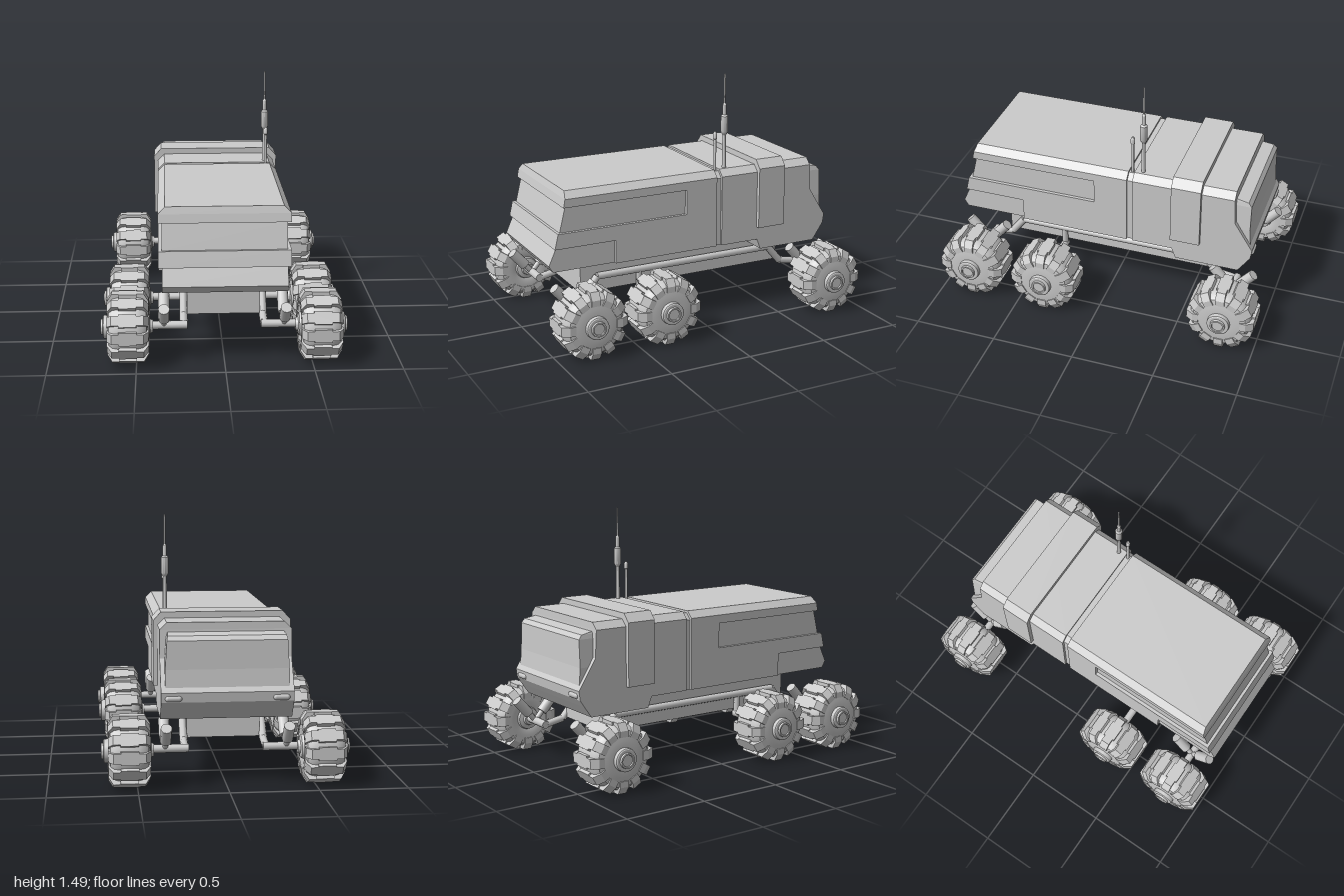
import * as THREE from 'three';
import { toCreasedNormals } from 'three/addons/utils/BufferGeometryUtils.js';

const grey = new THREE.MeshStandardMaterial({ color: 0xcccccc });

function add(parent, name, geometry, x = 0, y = 0, z = 0) {
  const mesh = new THREE.Mesh(geometry, grey);
  mesh.name = name;
  mesh.position.set(x, y, z);
  parent.add(mesh);
  return mesh;
}

// Box from corner ranges
function block(parent, name, x0, x1, y0, y1, z0, z1) {
  return add(parent, name, new THREE.BoxGeometry(x1 - x0, y1 - y0, z1 - z0),
    (x0 + x1) / 2, (y0 + y1) / 2, (z0 + z1) / 2);
}

// Stack of rectangles, bottom to top: [y, halfWidth, zBack, zFront]
function loft(parent, name, levels) {
  const pos = [], index = [], n = levels.length;
  for (const [y, h, b, f] of levels) pos.push(-h, y, f, h, y, f, h, y, b, -h, y, b);
  for (let i = 0; i < n - 1; i++) {
    for (let k = 0; k < 4; k++) {
      const a = i * 4 + k, c = i * 4 + (k + 1) % 4;
      index.push(a, c, c + 4, a, c + 4, a + 4);
    }
  }
  const t = (n - 1) * 4;
  index.push(0, 2, 1, 0, 3, 2, t, t + 1, t + 2, t, t + 2, t + 3);
  const g = new THREE.BufferGeometry();
  g.setAttribute('position', new THREE.Float32BufferAttribute(pos, 3));
  g.setIndex(index);
  const flat = g.toNonIndexed();
  flat.computeVertexNormals();
  return add(parent, name, flat);
}

// Cylinder between two points
function rod(parent, name, a, b, r, sides = 12) {
  const p = new THREE.Vector3(...a), q = new THREE.Vector3(...b), d = q.clone().sub(p);
  const mesh = add(parent, name, new THREE.CylinderGeometry(r, r, d.length(), sides));
  mesh.position.copy(p).add(q).multiplyScalar(0.5);
  mesh.quaternion.setFromUnitVectors(new THREE.Vector3(0, 1, 0), d.normalize());
  return mesh;
}

function lathe(points, segments) {
  const g = new THREE.LatheGeometry(points.map(p => new THREE.Vector2(...p)), segments);
  return toCreasedNormals(g, 0.5);
}

// Wheel with its outer face towards +x
function createWheel() {
  const wheel = new THREE.Group();
  wheel.name = 'wheel';
  const tyre = lathe([[0, -0.14], [0.035, -0.14], [0.04, -0.125], [0.065, -0.12], [0.07, -0.105],
    [0.105, -0.115], [0.16, -0.105], [0.178, -0.085], [0.187, -0.05], [0.187, 0.05], [0.178, 0.085],
    [0.16, 0.105], [0.105, 0.115], [0.068, 0.115], [0.066, 0.138], [0.06, 0.142], [0.045, 0.142],
    [0.043, 0.155], [0.034, 0.155], [0.032, 0.148], [0, 0.148]], 40);
  add(wheel, 'tyreAndHub', tyre.rotateZ(-Math.PI / 2));
  const s = new THREE.Shape([[-0.117, 0.125], [0.117, 0.125], [0.117, 0.16], [0.09, 0.203],
    [-0.09, 0.203], [-0.117, 0.16]].map(p => new THREE.Vector2(...p)));
  const lug = new THREE.ExtrudeGeometry(s, { depth: 0.055, bevelEnabled: false }).translate(0, 0, -0.0275);
  // Wider middle pad on each lug
  const pad = new THREE.BoxGeometry(0.1, 0.03, 0.075).translate(0, 0.188, 0);
  for (let i = 0; i < 12; i++) {
    const a = i * Math.PI / 6;
    add(wheel, 'treadLug', lug).rotation.x = a;
    add(wheel, 'treadPad', pad).rotation.x = a;
  }
  return wheel;
}

function createBody() {
  const body = new THREE.Group();
  body.name = 'body';
  // Front cabin: recessed window band between belt and roof
  loft(body, 'roof', [[0.83, 0.37, -0.13, 0.86], [0.88, 0.37, -0.13, 0.85], [0.92, 0.33, -0.13, 0.838]]);
  loft(body, 'windowBand', [[0.68, 0.35, 0.07, 0.88], [0.83, 0.35, 0.07, 0.843]]);
  block(body, 'cabinSide', -0.37, 0.37, 0.68, 0.83, -0.13, 0.075);
  loft(body, 'beltPanel', [[0.59, 0.37, -0.13, 0.918], [0.68, 0.37, -0.13, 0.897]]);
  block(body, 'lowerSide', -0.37, 0.37, 0.45, 0.59, -0.13, 0.54);
  loft(body, 'noseBumper', [[0.45, 0.35, 0.53, 0.925], [0.49, 0.35, 0.53, 0.95], [0.59, 0.35, 0.53, 0.905]]);
  // Groove between the two body halves
  loft(body, 'bodySeam', [[0.45, 0.355, -0.17, -0.125], [0.87, 0.355, -0.17, -0.125], [0.908, 0.32, -0.17, -0.125]]);
  // Rear body with dropped tail
  loft(body, 'rearBody', [[0.385, 0.37, -0.825, -0.44], [0.45, 0.37, -0.87, -0.415], [0.45, 0.37, -0.87, -0.165],
    [0.49, 0.37, -0.897, -0.165], [0.545, 0.37, -0.905, -0.165], [0.72, 0.37, -0.795, -0.165],
    [0.88, 0.37, -0.787, -0.165], [0.92, 0.33, -0.787, -0.165]]);
  loft(body, 'tailPanel', [[0.55, 0.345, -0.89, -0.75], [0.67, 0.345, -0.88, -0.75], [0.83, 0.335, -0.88, -0.75],
    [0.855, 0.33, -0.86, -0.75], [0.868, 0.325, -0.78, -0.75]]);
  // Raised band around the rear body
  loft(body, 'roofBand', [[0.53, 0.395, -0.59, -0.41], [0.905, 0.395, -0.59, -0.41], [0.955, 0.35, -0.59, -0.41]]);
  for (const s of [-1, 1]) {
    add(body, 'tailLight', new THREE.CapsuleGeometry(0.018, 0.06, 4, 10).rotateZ(Math.PI / 2), s * 0.3, 0.512, -0.895);
  }
  return body;
}

// Suspension and wheels for one side, s = +1 left, -1 right
function createRunningGear(s) {
  const side = new THREE.Group();
  side.name = s > 0 ? 'leftRunningGear' : 'rightRunningGear';
  const y = 0.21;
  const rail = [[0.78, y], [0.68, y + 0.02], [0.6, 0.335], [-0.58, 0.335], [-0.67, y + 0.02], [-0.78, y]];
  for (let i = 0; i < rail.length - 1; i++) {
    const [z0, y0] = rail[i], [z1, y1] = rail[i + 1];
    rod(side, 'suspensionRail', [s * 0.229, y0, z0], [s * 0.229, y1, z1], 0.023, 8);
  }
  for (const z of [0.795, 0.325, -0.795]) {
    rod(side, 'axle', [s * 0.21, y, z], [s * 0.43, y, z], 0.024);
    const wheel = createWheel();
    wheel.position.set(s * 0.545, 0.205, z);
    wheel.rotation.y = s > 0 ? 0 : Math.PI;
    side.add(wheel);
  }
  rod(side, 'middleLink', [s * 0.229, y, 0.325], [s * 0.229, 0.335, 0.325], 0.02, 8);
  // Paired dampers in a V over the end axles
  for (const z of [0.795, -0.795]) {
    for (const d of [-1, 1]) {
      rod(side, 'damperRod', [s * 0.342, y, z], [s * 0.342, 0.28, z + d * 0.06], 0.016);
      rod(side, 'damper', [s * 0.342, 0.262, z + d * 0.045], [s * 0.342, 0.352, z + d * 0.125], 0.032);
    }
  }
  return side;
}

function createAntennas() {
  const masts = new THREE.Group();
  masts.name = 'antennas';
  const tall = [[0, 0.9], [0.013, 0.9], [0.011, 1.12], [0.017, 1.13], [0.022, 1.14], [0.022, 1.235], [0.012, 1.245],
    [0.012, 1.305], [0.006, 1.315], [0.005, 1.49], [0, 1.49]];
  const short = [[0, 0.89], [0.009, 0.89], [0.008, 1.1], [0.013, 1.105], [0.013, 1.135], [0.007, 1.148], [0, 1.148]];
  add(masts, 'tallAntenna', lathe(tall, 12), 0.302, 0, -0.213);
  add(masts, 'shortAntenna', lathe(short, 12), 0.305, 0, -0.148);
  return masts;
}

export function createModel() {
  const model = new THREE.Group();
  model.name = 'sixWheeledRover';
  model.add(createBody(), createAntennas(), createRunningGear(1), createRunningGear(-1));
  // Chassis with a wider upper flange
  block(model, 'chassis', -0.21, 0.21, 0.238, 0.428, -0.65, 0.7);
  block(model, 'bodyMount', -0.19, 0.19, 0.42, 0.46, -0.6, 0.65);
  return model;
}
